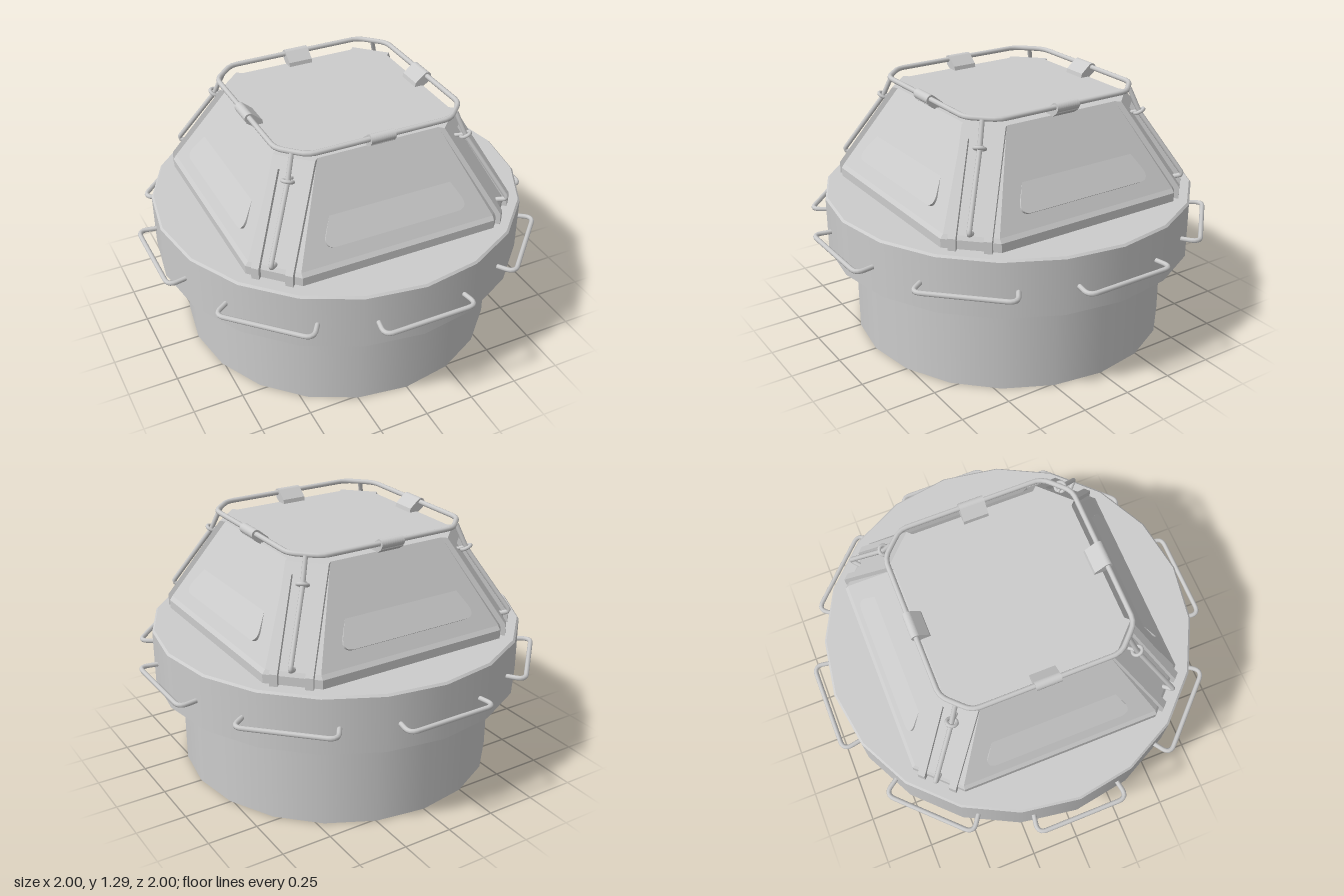
import * as THREE from 'three';

const smooth = new THREE.MeshStandardMaterial({ color: 0xcccccc });
const flat = new THREE.MeshStandardMaterial({ color: 0xcccccc, flatShading: true });
const V = (x, y, z) => new THREE.Vector3(x, y, z);

function add(parent, name, geometry, material = smooth) {
  const mesh = new THREE.Mesh(geometry, material);
  mesh.name = name;
  parent.add(mesh);
  return mesh;
}

// Solid skinned through stacked rings, each counterclockwise seen from above
function loft(rings) {
  const n = rings[0].length, index = [];
  for (let r = 0; r < rings.length - 1; r++) {
    for (let j = 0; j < n; j++) {
      const a = r * n + j, b = r * n + (j + 1) % n;
      index.push(a, b, b + n, a, b + n, a + n);
    }
  }
  const top = (rings.length - 1) * n;
  for (let j = 1; j < n - 1; j++) index.push(top, top + j, top + j + 1, 0, j + 1, j);
  const g = new THREE.BufferGeometry();
  g.setAttribute('position', new THREE.Float32BufferAttribute(rings.flat(2), 3));
  g.setIndex(index);
  const out = g.toNonIndexed();
  out.computeVertexNormals();
  return out;
}

// Square with cut corners: h = half width, c = half length of each side
const octagon = (h, c, y) =>
  [[-c, h], [c, h], [h, c], [h, -c], [c, -h], [-c, -h], [-h, -c], [-h, c]].map(([x, z]) => [x, y, z]);
const rect = (x0, x1, z0, z1, y) => [[x0, y, z1], [x1, y, z1], [x1, y, z0], [x0, y, z0]];

// Bent rod along a polyline with rounded corners
function rod(points, bend, radius, closed = false, segments = 48) {
  const path = new THREE.CurvePath(), n = points.length;
  const toward = (a, b) => a.clone().add(b.clone().sub(a).setLength(bend));
  let last = closed ? points[0].clone().lerp(points[n - 1], 0.5) : points[0];
  const start = last;
  for (let i = closed ? 0 : 1; i < (closed ? n : n - 1); i++) {
    const p = points[i], a = toward(p, points[(i + n - 1) % n]), b = toward(p, points[(i + 1) % n]);
    path.add(new THREE.LineCurve3(last, a));
    path.add(new THREE.QuadraticBezierCurve3(a, p, b));
    last = b;
  }
  path.add(new THREE.LineCurve3(last, closed ? start : points[n - 1]));
  return new THREE.TubeGeometry(path, segments, radius, 8, closed);
}

export function createModel() {
  const model = new THREE.Group();
  model.name = 'hatchTurret';
  const SIDES = 20;

  // Round base with a shallow recessed underside
  const base = new THREE.Group();
  base.name = 'base';
  model.add(base);
  add(base, 'baseWall', new THREE.CylinderGeometry(0.8, 0.8, 0.45, SIDES, 1, true)).position.y = 0.225;
  add(base, 'baseRim', new THREE.RingGeometry(0.625, 0.8, SIDES)).rotation.x = Math.PI / 2;
  const lip = add(base, 'recessWall', new THREE.CylinderGeometry(0.625, 0.625, 0.008, SIDES, 1, true),
    new THREE.MeshStandardMaterial({ color: 0xcccccc, side: THREE.DoubleSide }));
  lip.position.y = 0.004;
  const floor = add(base, 'recessFloor', new THREE.CircleGeometry(0.625, SIDES));
  floor.rotation.x = Math.PI / 2;
  floor.position.y = 0.008;

  // Wide collar: sloped underside, wall, thin bevel on top
  const collar = new THREE.Group();
  collar.name = 'collar';
  model.add(collar);
  for (const [name, r0, y0, r1, y1] of [
    ['collarUnderside', 0.79, 0.436, 0.932, 0.455],
    ['collarWall', 0.932, 0.455, 0.932, 0.732],
    ['collarBevel', 0.932, 0.732, 0.922, 0.742],
  ]) {
    const open = name !== 'collarBevel';
    add(collar, name, new THREE.CylinderGeometry(r1, r0, y1 - y0, SIDES, 1, open)).position.y = (y0 + y1) / 2;
  }

  // Grab handles around the collar
  const handle = rod([V(-0.22, 0, 0.88), V(-0.24, 0, 0.988), V(0.24, 0, 0.988), V(0.22, 0, 0.88)], 0.05, 0.012);
  for (let i = 0; i < 8; i++) {
    const m = add(model, 'collarHandle', handle);
    m.position.y = 0.585;
    m.rotation.y = i * Math.PI / 4;
  }

  // Tapered upper body
  add(model, 'upperBody', loft([
    octagon(0.695, 0.5, 0.735), octagon(0.695, 0.5, 0.785),
    octagon(0.68, 0.5, 0.805), octagon(0.45, 0.31, 1.22),
  ]), flat);

  // Shallow wedge panel, its upper end sinking into the slope
  const panel = new THREE.Shape();
  panel.moveTo(-0.3, 0.17);
  panel.lineTo(-0.352, 0.06);
  panel.quadraticCurveTo(-0.375, 0, -0.31, 0);
  panel.lineTo(0.31, 0);
  panel.quadraticCurveTo(0.375, 0, 0.352, 0.06);
  panel.lineTo(0.3, 0.17);
  const panelGeometry = new THREE.ExtrudeGeometry(panel, { depth: 0.02, bevelEnabled: false });

  // Clip profile: wraps the top rail and slopes in to the roof
  const clip = new THREE.Shape();
  clip.moveTo(0.405, 1.215);
  clip.lineTo(0.455, 1.215);
  clip.lineTo(0.488, 1.238);
  clip.absarc(0.473, 1.262, 0.024, -0.9, 2.2, false);
  clip.lineTo(0.41, 1.24);
  clip.closePath();
  const clipGeometry = new THREE.ExtrudeGeometry(clip, { depth: 0.125, bevelEnabled: false, curveSegments: 8 });
  clipGeometry.translate(0, 0, -0.0625);

  // Corner frame: two rails with a channel between, closed at the top
  const slope = y => 0.838 - Math.max(0, y - 0.8) * 0.715;
  const bar = (x0, x1, ys) => loft(ys.map(y => rect(x0, x1, slope(y) - 0.1, slope(y) + 0.03, y)));
  const railGeometries = [bar(-0.1, -0.063, [0.735, 0.8, 1.22]), bar(0.063, 0.1, [0.735, 0.8, 1.22])];
  const capGeometry = bar(-0.064, 0.064, [1.17, 1.22]);
  const cornerRod = rod([V(0, 1.26, 0.594), V(0, 1.14, 0.65), V(0, 0.83, 0.88), V(0, 0.81, 0.81)], 0.022, 0.012);
  const cornerEye = new THREE.TorusGeometry(0.024, 0.009, 8, 16);
  const cornerLug = new THREE.CylinderGeometry(0.009, 0.009, 0.1, 8);

  for (let i = 0; i < 4; i++) {
    const side = new THREE.Group();
    side.name = 'side';
    side.rotation.y = i * Math.PI / 2;
    const p = add(side, 'sidePanel', panelGeometry, flat);
    p.position.set(0, 0.863, 0.642);
    p.rotation.x = -0.61;
    add(side, 'railClip', clipGeometry, flat).rotation.y = -Math.PI / 2;

    const corner = new THREE.Group();
    corner.name = 'corner';
    corner.rotation.y = Math.PI / 4 + i * Math.PI / 2;
    railGeometries.forEach(g => add(corner, 'cornerRail', g, flat));
    add(corner, 'cornerCap', capGeometry, flat);
    add(corner, 'cornerRod', cornerRod);
    const eye = add(corner, 'rodEye', cornerEye);
    eye.position.set(0, 1.145, 0.648);
    eye.rotation.x = Math.PI / 2 - 0.5;
    const lug = add(corner, 'rodLug', cornerLug);
    lug.position.set(0, 1.135, 0.605);
    lug.rotation.x = Math.PI / 2 - 0.3;
    model.add(side, corner);
  }

  // Rail running round the roof
  const railPoints = octagon(0.473, 0.36, 1.265).map(p => V(...p));
  add(model, 'topRail', rod(railPoints, 0.04, 0.013, true, 128));

  return model;
}
